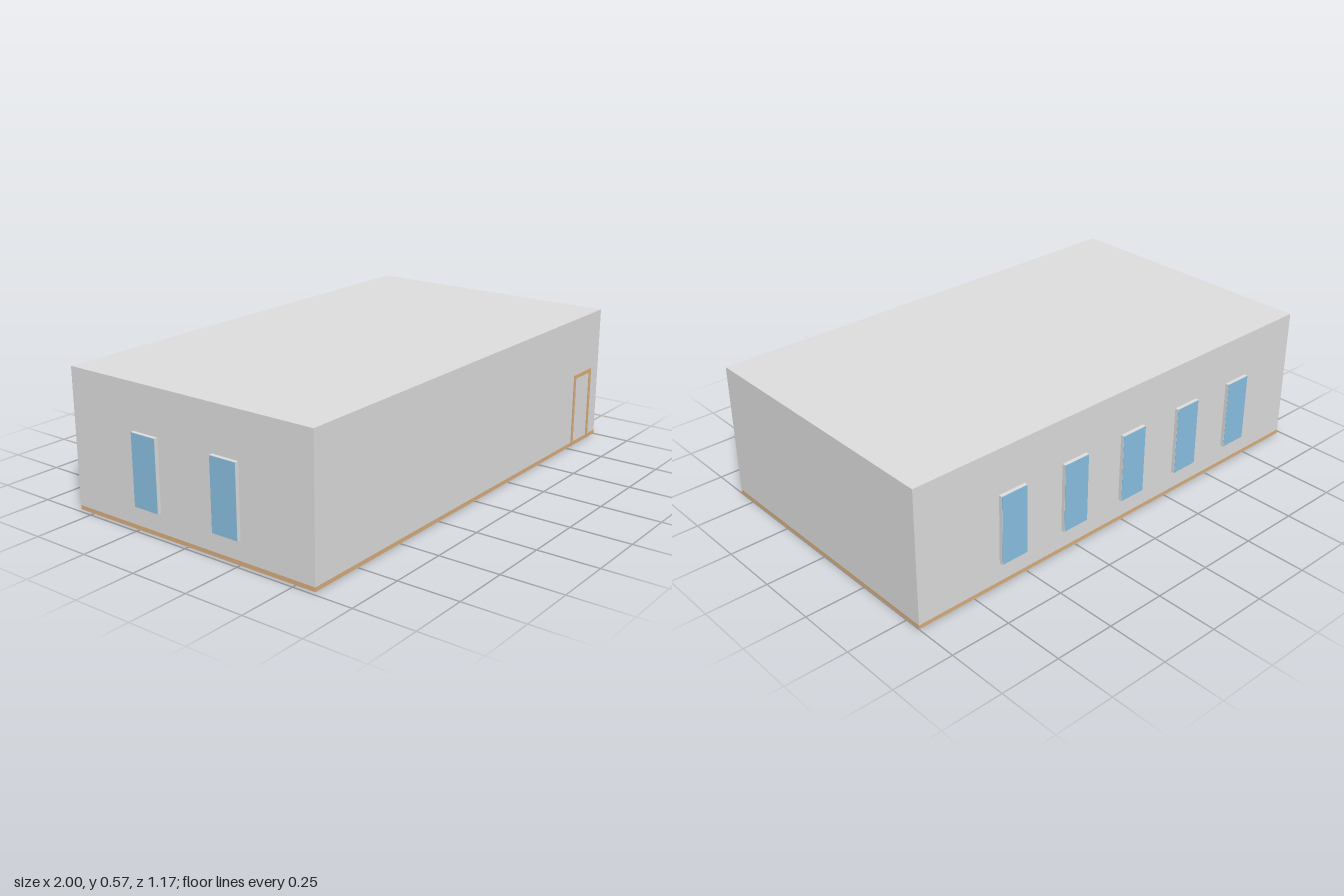
import * as THREE from 'three';

const material = (name, color) => {
  const m = new THREE.MeshStandardMaterial({ color });
  m.name = name;
  return m;
};

export function createModel() {
  const wall = material('wall grey', 0xdcdcdc);
  const wood = material('light wood', 0xd8ac7b);
  const glass = material('window blue', 0x88bfe0);
  const floorMat = material('floor grey', 0xc8c5ba);

  const room = new THREE.Group();
  room.name = 'room';

  // Box given by its minimum and maximum corners
  const box = (name, mat, [x0, y0, z0], [x1, y1, z1], parent = room) => {
    const mesh = new THREE.Mesh(new THREE.BoxGeometry(x1 - x0, y1 - y0, z1 - z0), mat);
    mesh.position.set((x0 + x1) / 2, (y0 + y1) / 2, (z0 + z1) / 2);
    mesh.name = name;
    parent.add(mesh);
    return mesh;
  };

  const X0 = -0.984, X1 = 1, Z0 = -0.57, Z1 = 0.585, H = 0.573, SKIRT = 0.018;

  // Main block, wooden base band and floor
  box('walls', wall, [X0, SKIRT, Z0], [X1, H, Z1]);
  box('baseboard', wood, [X0, 0.002, Z0], [X1, SKIRT, Z1]);
  box('floor', floorMat, [X0, 0, Z0], [X1, 0.002, Z1]);

  // Door frame: two jambs and a lintel on the front wall
  const door = new THREE.Group();
  door.name = 'doorFrame';
  room.add(door);
  const zf = Z1 + 0.003, dl = 0.781, dr = 0.933, top = 0.323, fw = 0.016;
  box('rightJamb', wood, [dl, 0.003, Z1], [dl + fw, top, zf], door);
  box('leftJamb', wood, [dr - fw, 0.003, Z1], [dr, top, zf], door);
  box('lintel', wood, [dl + fw, top - fw, Z1], [dr - fw, top, zf], door);

  // Window: projecting casing with a pane over its outer face (+z)
  const addWindow = (x, z, turn) => {
    const win = new THREE.Group();
    win.name = 'window';
    box('casing', wall, [-0.06, 0.097, 0], [0.06, 0.387, 0.015], win);
    box('pane', glass, [-0.059, 0.098, 0.015], [0.059, 0.386, 0.016], win);
    win.position.set(x, 0, z);
    win.rotation.y = turn;
    room.add(win);
  };

  // Five windows at the back, two on the right-hand side
  for (let i = 0; i < 5; i++) addWindow(-0.65 + i * 0.305, Z0, Math.PI);
  for (const z of [-0.19, 0.196]) addWindow(X0, z, -Math.PI / 2);

  return room;
}
